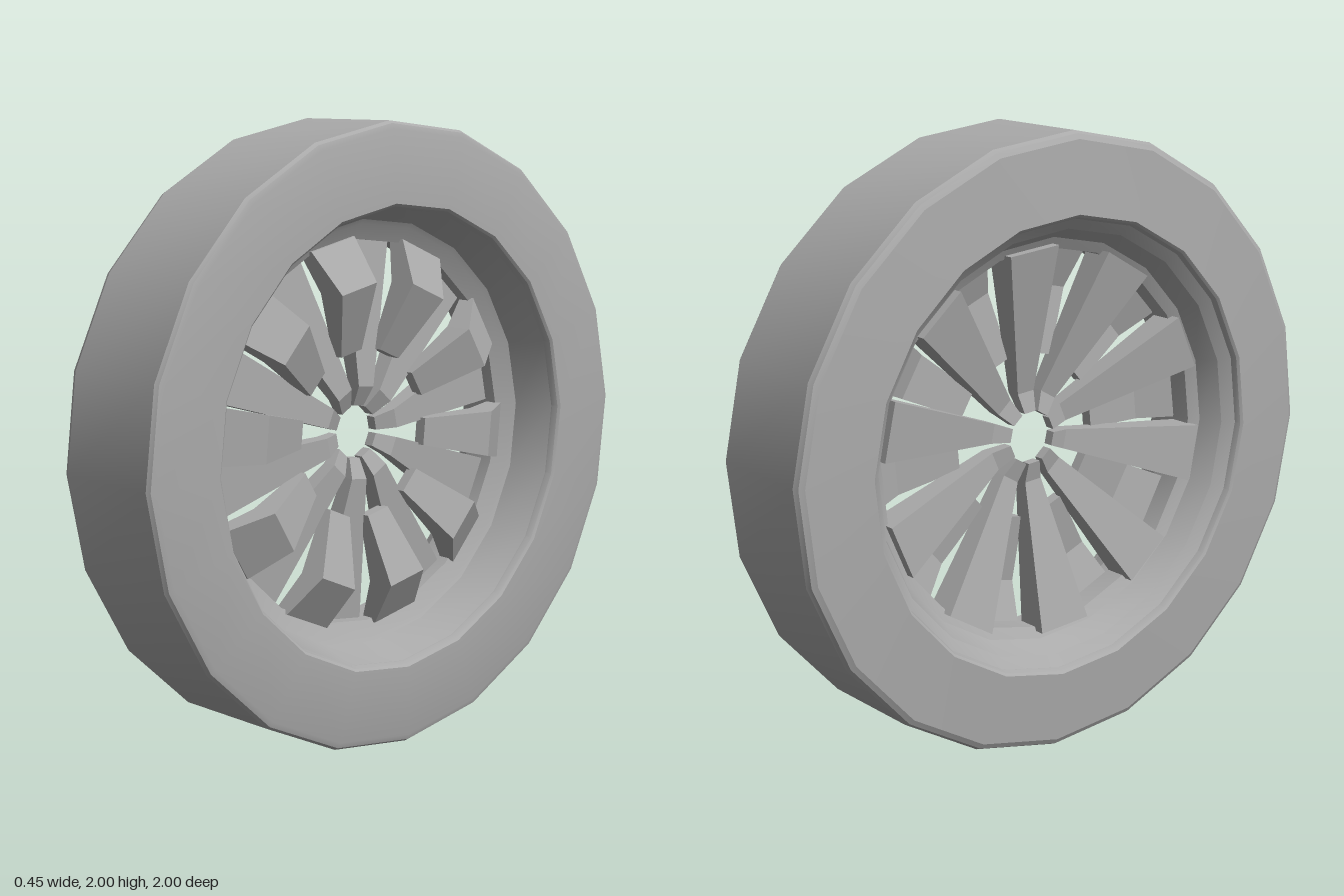
import * as THREE from 'three';
import { toCreasedNormals } from 'three/addons/utils/BufferGeometryUtils.js';

const SIDES = 20;
const TURN = THREE.MathUtils.degToRad(2.3);
const material = new THREE.MeshStandardMaterial({ color: 0xaaaaaa, side: THREE.DoubleSide });

// Solid of revolution round the x axis; profile points are [radius, x]
function ring(name, profile) {
  const points = profile.map(([r, x]) => new THREE.Vector2(r, x));
  points.push(points[0].clone());
  const geometry = new THREE.LatheGeometry(points, SIDES);
  geometry.rotateZ(-Math.PI / 2);
  geometry.rotateX(TURN);
  const mesh = new THREE.Mesh(toCreasedNormals(geometry, 0.4), material);
  mesh.name = name;
  return mesh;
}

// Four-sided arm along +y; sections are [radius, xBack, xFront, halfWidth]
function armGeometry(sections) {
  const n = sections.length - 1;
  const box = new THREE.BoxGeometry(1, 1, 1, 1, n, 1);
  const p = box.attributes.position;
  for (let i = 0; i < p.count; i++) {
    const [r, back, front, half] = sections[Math.round((p.getY(i) + 0.5) * n)];
    p.setXYZ(i, p.getX(i) < 0 ? back : front, r, Math.sign(p.getZ(i)) * half);
  }
  const flat = box.toNonIndexed();
  flat.computeVertexNormals();
  return flat;
}

// Ten copies of an arm round the axle
function arms(name, geometry, startDegrees) {
  const group = new THREE.Group();
  group.name = name + 's';
  for (let i = 0; i < 10; i++) {
    const mesh = new THREE.Mesh(geometry, material);
    mesh.name = name;
    mesh.rotation.x = -THREE.MathUtils.degToRad(startDegrees + 36 * i);
    group.add(mesh);
  }
  return group;
}

export function createModel() {
  const wheel = new THREE.Group();
  wheel.name = 'wheel';

  // Axle height, so that the tread rests on the ground
  wheel.position.y = 1;

  // Tyre: flat tread, small shoulder bevels, slightly bulging side walls
  wheel.add(ring('tyre', [
    [1, -0.18], [1, 0.2], [0.992, 0.213], [0.975, 0.219],
    [0.745, 0.225], [0.737, 0.218], [0.73, 0.2],
    [0.73, -0.2], [0.737, -0.218], [0.745, -0.225],
    [0.975, -0.208], [0.992, -0.198],
  ]));

  // Rim: deep cone and sloping lip on the right, shallower step on the left
  wheel.add(ring('rim', [
    [0.731, -0.2], [0.731, 0.2], [0.69, 0.07],
    [0.675, 0.06], [0.625, 0.035],
    [0.625, -0.08], [0.66, -0.1], [0.695, -0.17],
  ]));

  // Long tapering spokes, kinked where they reach the open hub
  wheel.add(arms('spoke', armGeometry([
    [0.085, -0.025, 0.01, 0.022],
    [0.15, -0.01, 0.04, 0.032],
    [0.63, -0.12, -0.01, 0.095],
  ]), 5.7));

  // Short humped braces between the spokes
  wheel.add(arms('brace', armGeometry([
    [0.27, 0.01, 0.05, 0.045],
    [0.49, 0.04, 0.14, 0.075],
    [0.63, -0.01, 0.05, 0.093],
  ]), -12.5));

  const model = new THREE.Group();
  model.name = 'wheelModel';
  model.add(wheel);
  return model;
}
